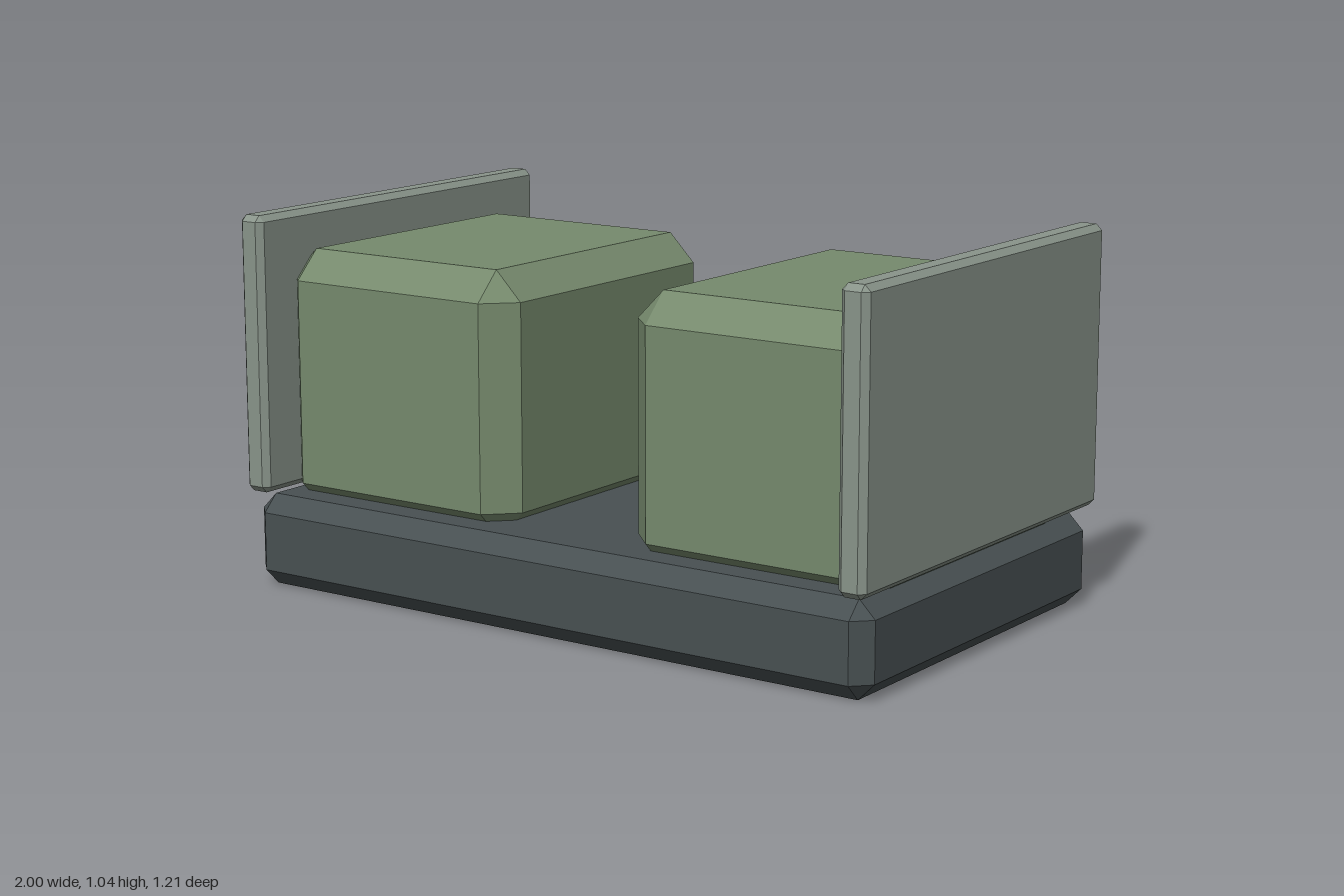
import * as THREE from 'three';
import { ConvexGeometry } from 'three/addons/geometries/ConvexGeometry.js';

const material = (color) => new THREE.MeshStandardMaterial({ color, flatShading: true });

// Box with every edge and corner cut off by the same bevel
function bevelledBox(name, [w, h, d], bevel, position, mat) {
  const points = [];
  const [x, y, z] = [w / 2, h / 2, d / 2];
  for (const sx of [-1, 1]) for (const sy of [-1, 1]) for (const sz of [-1, 1]) {
    points.push(
      new THREE.Vector3(sx * x, sy * (y - bevel), sz * (z - bevel)),
      new THREE.Vector3(sx * (x - bevel), sy * y, sz * (z - bevel)),
      new THREE.Vector3(sx * (x - bevel), sy * (y - bevel), sz * z)
    );
  }
  const mesh = new THREE.Mesh(new ConvexGeometry(points), mat);
  mesh.name = name;
  mesh.position.set(...position);
  return mesh;
}

export function createModel() {
  const group = new THREE.Group();
  group.name = 'twinBlockUnit';

  const dark = material(0x485052);
  const green = material(0x768a6d);
  const grey = material(0x89948a);
  const cream = material(0xc8ba9c);

  // Base slab
  group.add(bevelledBox('base', [1.99, 0.257, 1.17], 0.047, [0, 0.1285, 0], dark));

  // Each side: block sunk into the base, outer panel, small rear tag
  for (const [side, s] of [['left', 1], ['right', -1]]) {
    group.add(
      bevelledBox(`${side}Block`, [0.79, 0.73, 0.96], 0.08, [s * 0.585, 0.565, 0], green),
      bevelledBox(`${side}Panel`, [0.08, 0.77, 1.21], 0.017, [s * 0.96, 0.655, 0], grey),
      bevelledBox(`${side}RearTag`, [0.136, 0.265, 0.05], 0.015, [s * 0.585, 0.6, -0.503], cream)
    );
  }
  return group;
}
